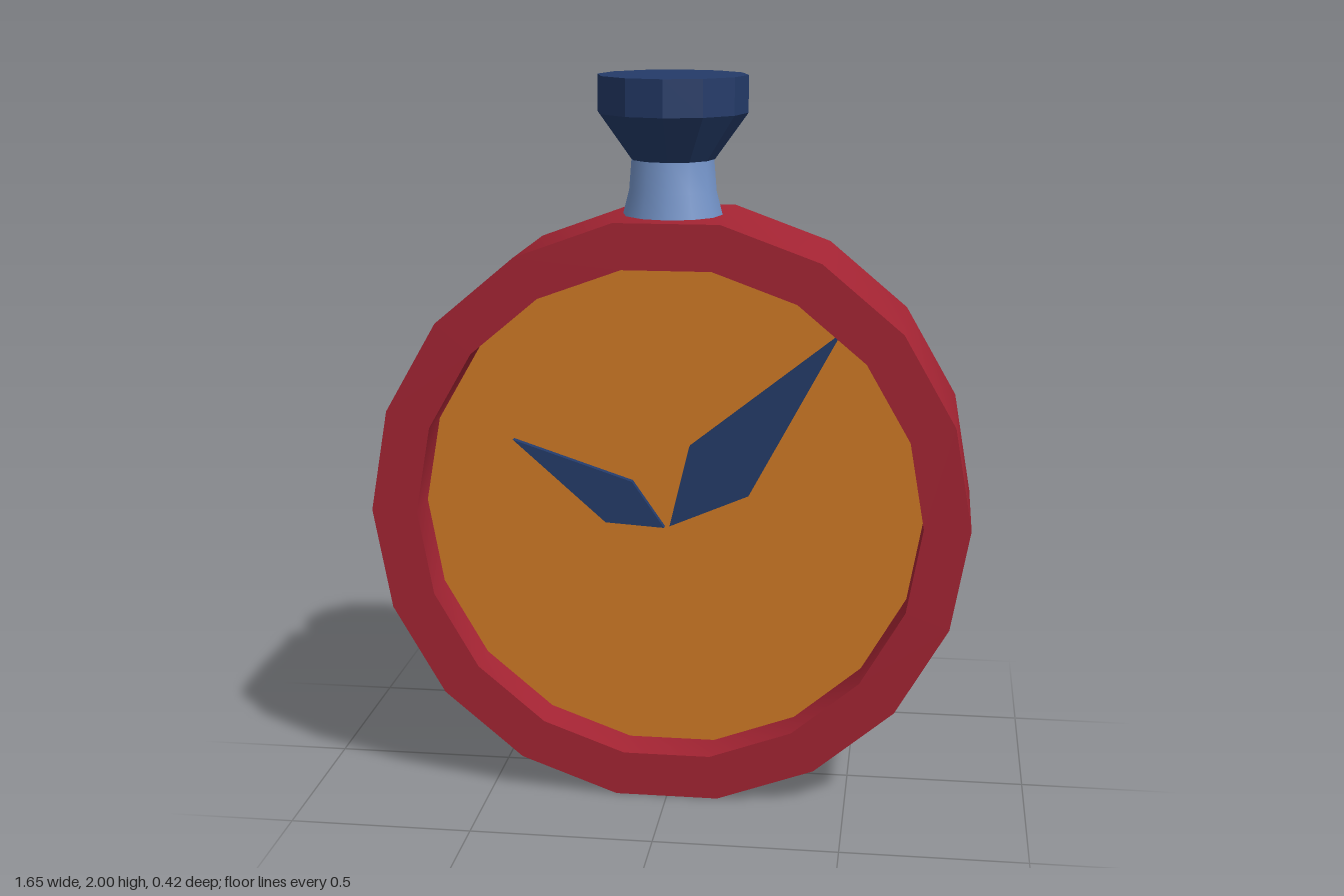
import * as THREE from 'three';
import { toCreasedNormals } from 'three/addons/utils/BufferGeometryUtils.js';

const SIDES = 18;
const CENTRE_Y = 0.8125;
const FACE_Z = 0.085;

function material(name, color) {
  const m = new THREE.MeshStandardMaterial({ color });
  m.name = name;
  return m;
}

// Turn a profile of [radius, height] points, smoothing only shallow angles
function turned(profile, sides, crease, phi = 0) {
  const points = profile.map(([r, h]) => new THREE.Vector2(r, h));
  return toCreasedNormals(new THREE.LatheGeometry(points, sides, phi), crease);
}

export function createModel() {
  const group = new THREE.Group();
  const red = material('caseRed', 0xa42433);
  const orange = material('dialOrange', 0xd07a25);
  const navy = material('navy', 0x243b69);
  const blue = material('neckBlue', 0x7595ca);

  function add(name, geometry, mat, x = 0, y = 0, z = 0) {
    const mesh = new THREE.Mesh(geometry, mat);
    mesh.name = name;
    mesh.position.set(x, y, z);
    group.add(mesh);
    return mesh;
  }

  // Case: closed back, outer wall, front rim and recess wall
  const caseGeometry = turned(
    [[0, -0.207], [0.825, -0.207], [0.825, 0.207], [0.698, 0.207], [0.698, FACE_Z]],
    SIDES, 0.6, Math.PI / 2
  );
  caseGeometry.rotateX(Math.PI / 2);
  add('case', caseGeometry, red, 0, CENTRE_Y, 0);

  // Dial at the bottom of the recess
  add('dial', new THREE.CircleGeometry(0.698, SIDES), orange, 0, CENTRE_Y, FACE_Z);

  // Kite-shaped hands
  const hands = {
    hourHand: [[-0.02, 0.76], [-0.11, 0.89], [-0.445, 1.0], [-0.185, 0.77]],
    minuteHand: [[-0.005, 0.765], [0.215, 0.86], [0.46, 1.32], [0.05, 0.995]],
  };
  for (const [name, corners] of Object.entries(hands)) {
    const shape = new THREE.Shape(corners.map(([x, y]) => new THREE.Vector2(x, y)));
    const geometry = new THREE.ExtrudeGeometry(shape, { depth: 0.02, bevelEnabled: false });
    add(name, geometry, navy, 0, 0, FACE_Z);
  }

  // Flared neck and faceted winding crown
  add('neck', turned([[0.14, 1.6], [0.138, 1.62], [0.12, 1.69], [0.112, 1.79]], 12, 0.8),
    blue, -0.008, 0, 0.005);
  add('crown', turned([[0, 1.775], [0.115, 1.775], [0.205, 1.9], [0.205, 2], [0, 2]], 12, 0.1),
    navy, -0.008, 0, 0.005);

  return group;
}
